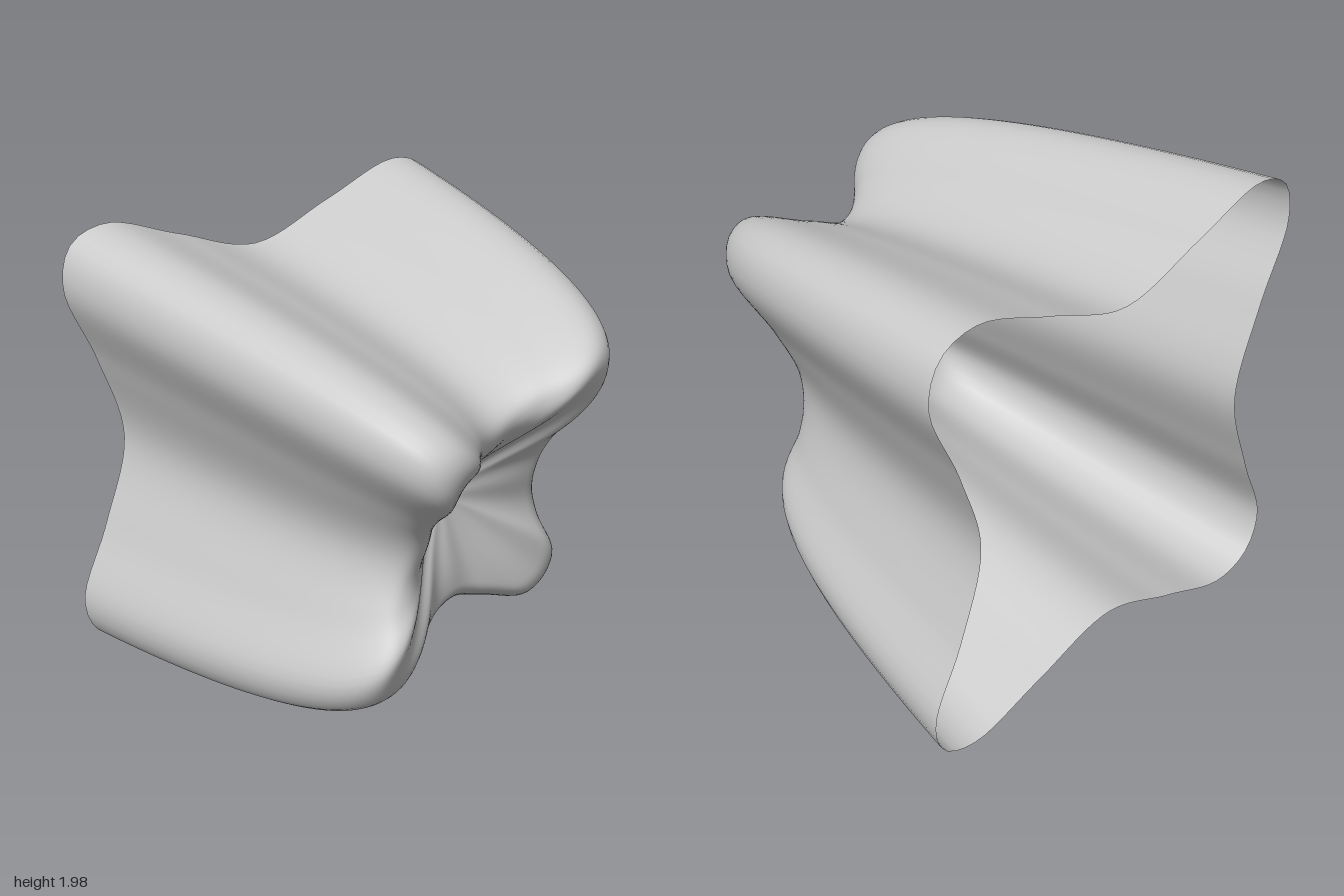
import * as THREE from 'three';

// Four-lobed outline of the open back rim, clockwise, relative to the axis
const RIM = [
  [0, 0.74], [0.4, 0.865], [0.78, 0.985], [0.945, 0.925], [1.0, 0.75], [0.85, 0.38],
  [0.74, 0], [0.84, -0.4], [0.97, -0.73], [0.92, -0.9], [0.75, -0.965], [0.4, -0.86],
  [0, -0.74], [-0.4, -0.875], [-0.77, -0.995], [-0.94, -0.93], [-1.0, -0.75], [-0.86, -0.4],
  [-0.735, 0], [-0.84, 0.4], [-0.97, 0.75], [-0.92, 0.93], [-0.75, 0.99], [-0.4, 0.87],
];
const RIDGE = 0.55;      // scale of the outline along the front ridge
const CENTRE_Z = 0.33;   // depth of the hollow in the front
const AROUND = 144, WALL = 36, FACE = 24;

// Depth of the front ridge: a tilted plane, dipping between the lobes
function ridgeZ(x, y) {
  const lobe = THREE.MathUtils.smoothstep(Math.hypot(x, y), 0.74, 1.29);
  return 0.675 + 0.32 * RIDGE / 0.55 * (y - x) * 0.54 - 0.15 * (1 - lobe);
}

// Scale and depth of one ring: first up the tapering wall, then into the hollow
function ringPoint(j, x, y) {
  const front = ridgeZ(x, y);
  if (j <= WALL) {
    const q = Math.pow(j / WALL, 1.4);
    const rise = 1 - Math.pow(1 - q, 2.4);
    return [1 - (1 - RIDGE) * q, -1 + (front + 1) * rise];
  }
  const k = 1 - (j - WALL) / FACE;
  const h = k * k * (3 - 2 * k);
  return [RIDGE * k, CENTRE_Z + (front - CENTRE_Z) * h];
}

export function createModel() {
  const group = new THREE.Group();
  group.name = 'lobedShell';

  const curve = new THREE.CatmullRomCurve3(
    RIM.map(([x, y]) => new THREE.Vector3(x, y, 0)), true, 'centripetal');
  const outline = curve.getSpacedPoints(AROUND).slice(0, AROUND);

  const positions = [], indices = [];
  const rings = WALL + FACE;
  for (let j = 0; j <= rings; j++) {
    for (let i = 0; i < AROUND; i++) {
      const { x, y } = outline[i];
      const [scale, z] = ringPoint(j, x, y);
      positions.push(x * scale, 1 + y * scale, z);
      if (j === rings) continue;
      const a = j * AROUND + i, b = j * AROUND + (i + 1) % AROUND;
      indices.push(a, a + AROUND, b);
      if (j < rings - 1) indices.push(b, a + AROUND, b + AROUND);
    }
  }

  const geometry = new THREE.BufferGeometry();
  geometry.setAttribute('position', new THREE.Float32BufferAttribute(positions, 3));
  geometry.setIndex(indices);
  geometry.computeVertexNormals();

  // Open at the back, so both sides show
  const shell = new THREE.Mesh(geometry,
    new THREE.MeshStandardMaterial({ color: 0xcccccc, side: THREE.DoubleSide }));
  shell.name = 'shell';
  group.add(shell);
  return group;
}
